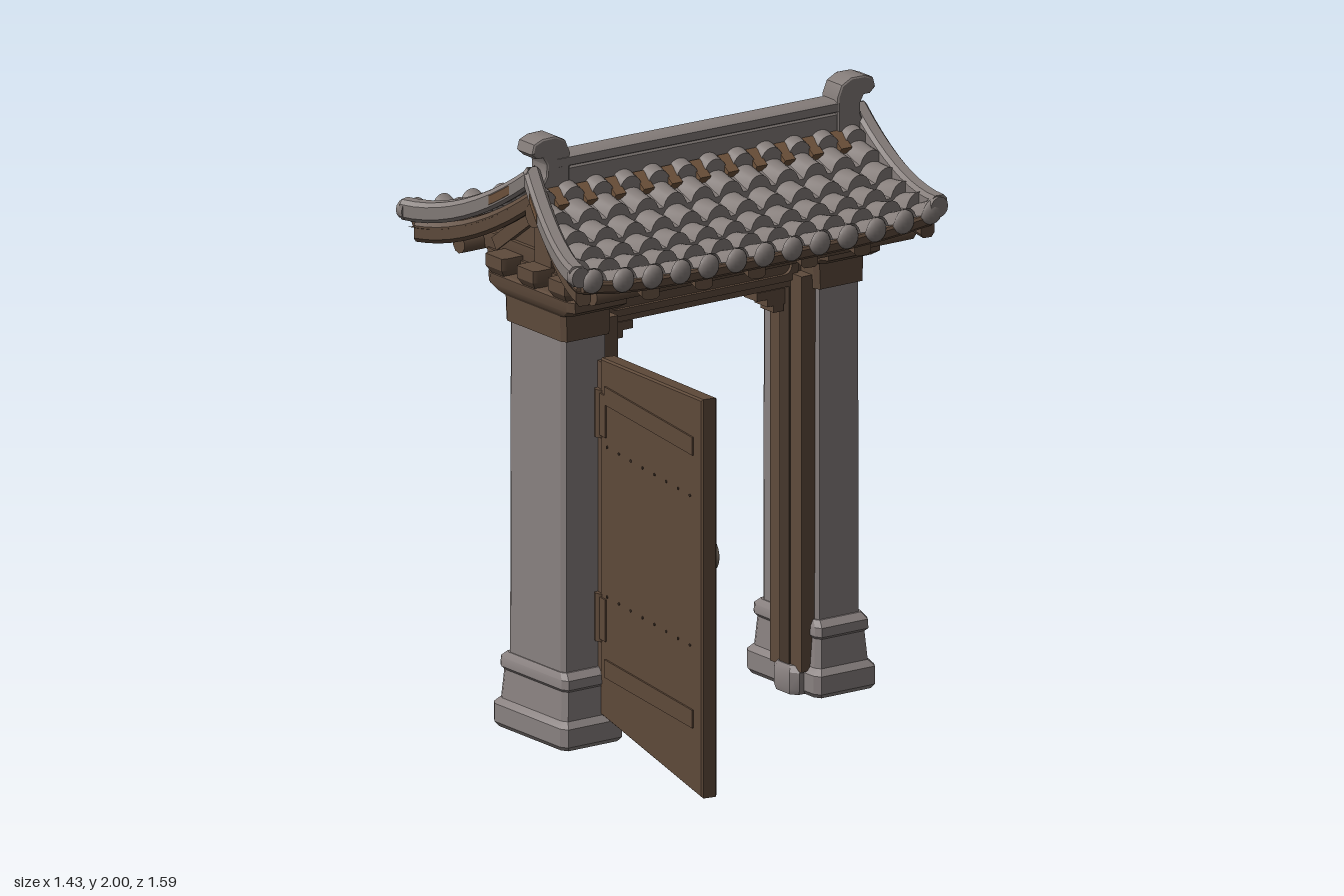
import * as THREE from 'three';
import { toCreasedNormals } from 'three/addons/utils/BufferGeometryUtils.js';

const V = (x, y, z) => new THREE.Vector3(x, y, z);
const mat = (name, color, side = THREE.FrontSide) => {
  const m = new THREE.MeshStandardMaterial({ color, side });
  m.name = name;
  return m;
};
const CX = -0.188; // centre line of pillars

export function createModel() {
  const root = new THREE.Group();
  root.name = 'gate';
  const stone = mat('stone', 0x898180);
  const tile = mat('roofTile', 0x857d7a, THREE.DoubleSide);
  const wood = mat('wood', 0x5f4b3c, THREE.DoubleSide);
  const doorWood = mat('doorWood', 0x5e4939);
  const dark = mat('darkWood', 0x45372c, THREE.DoubleSide);
  const gap = mat('ochreWood', 0x6f533c);
  const metal = mat('metal', 0x6e6256);

  const add = (name, geo, m, parent = root) => {
    const mesh = new THREE.Mesh(geo, m);
    mesh.name = name;
    parent.add(mesh);
    return mesh;
  };
  const box = (name, m, x0, x1, y0, y1, z0, z1, parent) => add(name,
    new THREE.BoxGeometry(x1 - x0, y1 - y0, z1 - z0)
      .translate((x0 + x1) / 2, (y0 + y1) / 2, (z0 + z1) / 2), m, parent);

  // Chamfered cross-section, and a closed skin over a row of such rings
  const cross = c => [[1, c], [c, 1], [-c, 1], [-1, c], [-1, -c], [-c, -1], [c, -1], [1, -c]];
  const loft = rings => {
    const p = [], n = rings[0].length, last = rings.length - 1;
    const tri = (...vs) => vs.forEach(v => p.push(v.x, v.y, v.z));
    for (let j = 0; j < n; j++) {
      const k = (j + 1) % n;
      for (let i = 0; i < last; i++) {
        const a = rings[i][j], b = rings[i][k], c = rings[i + 1][k], d = rings[i + 1][j];
        tri(a, b, c);
        tri(a, c, d);
      }
      if (j > 0 && j < n - 1) {
        tri(rings[0][0], rings[0][k], rings[0][j]);
        tri(rings[last][0], rings[last][j], rings[last][k]);
      }
    }
    const g = new THREE.BufferGeometry();
    g.setAttribute('position', new THREE.Float32BufferAttribute(p, 3));
    return toCreasedNormals(g, 0.5);
  };
  // Upright block from rows of [y, half width, half depth]
  const stack = (x, z, rows, c = 0.88) => loft(rows.map(([y, hx, hz]) =>
    cross(c).map(([u, s]) => V(x + s * hx, y, z + u * hz))));
  // Bar of constant section along a path
  const sweep = (pts, w, h, c = 0.6) => loft(pts.map((p, i) => {
    const d = pts[Math.min(i + 1, pts.length - 1)].clone().sub(pts[Math.max(i - 1, 0)]);
    const side = V(-d.z, 0, d.x).normalize();
    return cross(c).map(([u, s]) => p.clone().addScaledVector(side, s * w / 2).add(V(0, u * h / 2, 0)));
  }));

  // Roof surface: s = side, t = ridge to eave, w = back (-1) to front (1)
  const front = t => 0.59 + 0.17 * t;
  const back = (s, t) => s < 0 ? 0.68 + 0.08 * t : 0.685 - 0.045 * t;
  const roof = (s, t, w, lift = 0) => {
    const f = front(t), b = back(s, t);
    const trim = w > 0 ? 0.04 : s < 0 ? 0.05 : 0;
    let y = 1.635 + 0.215 * (1 - t) ** 1.9 + 0.03 * t * w ** 4 + lift;
    if (s < 0 && w < 0) y += 0.04 * t * w ** 8;
    // the ridge line runs slightly askew
    return V(-0.193 - 0.013 * w * (1 - t) + s * t * (0.51 - trim * w ** 6), y, -b + (f + b) * (w + 1) / 2);
  };
  // Same surface addressed by z, cut off at the gables so that tile rows stay parallel
  const roofAtZ = (s, t, z, lift) => {
    const f = front(t), b = back(s, t);
    return roof(s, t, THREE.MathUtils.clamp((z + b) / (f + b) * 2 - 1, -1, 1), lift);
  };
  const path = (s, w, lift, t0 = 0, t1 = 1) =>
    Array.from({ length: 11 }, (_, i) => roof(s, t0 + (t1 - t0) * i / 10, w, lift));

  const COLS = 13, COURSES = 6, cuts = [0, 0.35, 0.7, 0.999];
  const sheet = (nv, nu, fn) => {
    const g = new THREE.PlaneGeometry(1, 1, nv, nu), p = g.attributes.position;
    for (let i = 0; i < p.count; i++) {
      const q = fn(i % (nv + 1), Math.floor(i / (nv + 1)));
      p.setXYZ(i, q.x, q.y, q.z);
    }
    return toCreasedNormals(g, 0.7);
  };
  for (const s of [-1, 1]) {
    const rowZ = v => THREE.MathUtils.lerp(s < 0 ? -0.76 : -0.67, 0.76, v / COLS);
    // Ribbed tile field in overlapping courses
    add('roofTiles', sheet(COLS * 12, COURSES * 4 - 1, (iv, iu) => {
      const f = cuts[iu % 4], t = (Math.floor(iu / 4) + f) / COURSES;
      const a = ((iv % 12) / 12 - 0.5) / 0.38;
      const rib = Math.abs(a) < 1 ? Math.sqrt(1 - a * a) : 0;
      return roofAtZ(s, t, rowZ(iv / 12), 0.036 * rib * (0.75 + 0.45 * f) + 0.022 * f - 0.02);
    }), tile);
    // Boarded underside
    add('roofUnderside', sheet(24, 12, (iv, iu) => roof(s, iu / 12 * 0.97, iv / 12 - 1, -0.045)), dark);
    add('eaveBoard', sweep(Array.from({ length: 15 }, (_, i) => roof(s, 0.95, (i / 7 - 1) * 0.97, -0.028)), 0.03, 0.04), wood);
    for (let k = 0; k < COLS; k++) {
      const e = roofAtZ(s, 0.98, rowZ(k + 0.5));
      add('eaveTileEnd', new THREE.SphereGeometry(1, 14, 10).scale(0.023, 0.04, 0.04)
        .translate(e.x, e.y - 0.002, e.z), tile);
      if (s > 0 && k > 0 && k < COLS - 1) { // bare boards between ribs beside the ridge
        const g = roofAtZ(s, 0.135, rowZ(k), -0.002);
        add('bareBoard', new THREE.BoxGeometry(0.075, 0.03, 0.042).rotateZ(-0.6).translate(g.x, g.y, g.z), gap);
      }
    }
    for (let k = -2; k <= 2; k++)
      add('rafter', sweep(path(s, k * 0.3, -0.065, 0.05, 0.92), 0.06, 0.05), wood);
    // Gable ridges with boards beneath
    for (const w of [-1, 1]) {
      const cut = s < 0 && w < 0 ? 0.74 : 1;
      const edge = path(s, w, 0.014, 0, cut);
      if (cut < 1) edge.forEach((p, i) => { p.z -= 0.035 * i / 10; p.y += 0.025 * i / 10; });
      add('gableRidge', sweep(edge, 0.056, 0.068), tile);
      add('bargeBoard', sweep(path(s, w * 0.96, -0.056, 0, 0.94), 0.05, 0.07), wood);
      const e = edge[10];
      add('gableRidgeEnd', new THREE.CylinderGeometry(0.034, 0.034, 0.03, 14).rotateZ(Math.PI / 2)
        .translate(e.x - s * 0.006, e.y - 0.003, e.z - w * 0.006), tile);
    }
    // Worn patch high on the front gable ridge
    add('wornPatch', sweep(path(s, 1, 0.016, 0.14, 0.3), 0.06, 0.032, 0.9), gap);
    // Purlin along the eave
    add('purlin', new THREE.CylinderGeometry(0.032, 0.032, 1.26, 10).rotateX(Math.PI / 2)
      .translate(CX + s * 0.36, 1.565, 0), wood);
  }
  add('ridgePurlin', new THREE.CylinderGeometry(0.04, 0.04, 1.2, 10).rotateX(Math.PI / 2).translate(CX, 1.74, 0), wood);

  // Main ridge and its curled ends
  add('ridge', sweep([V(-0.205, 1.85, 0.55), V(-0.178, 1.85, -0.63)], 0.08, 0.11), tile);
  add('ridgeCap', sweep([V(-0.205, 1.908, 0.52), V(-0.178, 1.908, -0.6)], 0.09, 0.045), tile);
  const horn = new THREE.Shape([[0, 1.82], [0, 1.94], [0.015, 1.975], [0.05, 1.993], [0.1, 1.992], [0.13, 1.98],
    [0.137, 1.955], [0.12, 1.94], [0.095, 1.94], [0.078, 1.91], [0.08, 1.87], [0.11, 1.82]].map(([x, y]) => new THREE.Vector2(x, y)));
  for (const [x, z, a] of [[-0.205, 0.477, -1], [-0.176, -0.572, 1]])
    add('ridgeEnd', toCreasedNormals(new THREE.ExtrudeGeometry(horn, { depth: 0.064, bevelSize: 0.007, bevelThickness: 0.012, bevelSegments: 2 })
      .translate(0, 0, -0.032).rotateY(a * Math.PI / 2).translate(x, 0, z), 0.6), tile);

  // Gable infill follows the underside of the roof
  const under = [];
  for (let i = -8; i <= 8; i++) {
    const q = roof(Math.sign(i) || 1, Math.abs(i) / 10, 0, -0.055);
    under.push(new THREE.Vector2(q.x, q.y));
  }
  const gable = new THREE.Shape([...under, new THREE.Vector2(0.02, 1.5), new THREE.Vector2(-0.4, 1.5)]);

  for (const z of [-0.5, 0.5]) {
    const o = Math.sign(z);
    add('pillar', stack(CX, z, [[0.2, 0.153, 0.088], [1.37, 0.151, 0.086]]), stone);
    add('pillarBase', stack(CX, z, [[0, 0.19, 0.11], [0.015, 0.202, 0.12], [0.075, 0.202, 0.12], [0.095, 0.182, 0.104],
      [0.19, 0.174, 0.096], [0.2, 0.186, 0.104], [0.23, 0.184, 0.103], [0.25, 0.16, 0.092]]), stone);
    add('pivotStone', stack(-0.13, z - o * 0.108, [[0, 0.06, 0.045], [0.02, 0.07, 0.05], [0.075, 0.07, 0.05], [0.095, 0.055, 0.04]], 0.6), stone);
    // Capital and stepped bracket arms
    add('capital', stack(CX, z, [[1.355, 0.165, 0.094], [1.44, 0.165, 0.098], [1.45, 0.2, 0.105],
      [1.47, 0.235, 0.115], [1.505, 0.235, 0.118], [1.51, 0.2, 0.11]]), wood);
    [[1.525, 0.31, 0.06], [1.575, 0.4, 0.05]].forEach(([y, r, d]) =>
      add('bracketArm', stack(CX, z, [[y - 0.035, r - 0.08, d], [y - 0.005, r, d], [y + 0.03, r, d]]), wood));
    for (const x of [-0.17, 0, 0.17])
      add('bracketBlock', stack(CX + x, z, [[1.5, 0.035, 0.11], [1.53, 0.05, 0.13], [1.57, 0.05, 0.13]]), wood);
    add('gableInfill', new THREE.ExtrudeGeometry(gable, { depth: 0.07, bevelEnabled: false }).translate(0, 0, z - 0.035), wood);
    box('kingPost', wood, CX - 0.045, CX + 0.045, 1.5, 1.76, z - 0.06, z + 0.06);
    for (const s of [-1, 1])
      add('gableStrut', new THREE.BoxGeometry(0.3, 0.045, 0.11).rotateZ(-s * 0.62).translate(CX + s * 0.15, 1.66, z), wood);
    // Door post with a narrow inner strip, and carved corner bracket
    const inner = z - o * 0.11;
    box('doorPost', wood, -0.22, -0.05, 0.08, 1.4, inner - 0.028, inner + 0.028);
    box('doorPostStrip', dark, -0.16, -0.11, 0.09, 1.37, inner - o * 0.031 - 0.003, inner - o * 0.031 + 0.003);
    [[0.3, 0.055, 1.33], [0.325, 0.04, 1.305], [0.33, 0.02, 1.282]].forEach(([c, h, y]) =>
      box('cornerBracket', wood, -0.2, -0.13, y - 0.012, y + 0.016, o * c - h, o * c + h));
  }

  // Lintel with a framed panel on both faces
  box('lintel', wood, -0.25, -0.11, 1.355, 1.53, -0.42, 0.42);
  box('lintelCap', wood, -0.27, -0.09, 1.53, 1.57, -0.46, 0.46);
  const rounded = (C, w, h, r) => {
    const q = new C();
    q.moveTo(-w + r, -h).lineTo(w - r, -h).quadraticCurveTo(w, -h, w, -h + r).lineTo(w, h - r)
      .quadraticCurveTo(w, h, w - r, h).lineTo(-w + r, h).quadraticCurveTo(-w, h, -w, h - r)
      .lineTo(-w, -h + r).quadraticCurveTo(-w, -h, -w + r, -h);
    return q;
  };
  const frame = rounded(THREE.Shape, 0.385, 0.068, 0.04);
  frame.holes.push(rounded(THREE.Path, 0.36, 0.045, 0.035));
  for (const x of [-0.262, -0.11])
    add('lintelFrame', new THREE.ExtrudeGeometry(frame, { depth: 0.012, bevelEnabled: false })
      .rotateY(Math.PI / 2).translate(x, 1.445, 0), wood);

  // Open door leaf, taller at its free edge
  const door = new THREE.Group();
  door.name = 'door';
  door.position.set(-0.008, 0, 0.432);
  door.rotation.y = -0.168;
  root.add(door);
  const leaf = new THREE.Shape([[0.006, 0.1], [0.722, 0.016], [0.722, 1.334], [0.006, 1.28]].map(([x, y]) => new THREE.Vector2(x, y)));
  add('doorLeaf', new THREE.ExtrudeGeometry(leaf, { depth: 0.044, bevelSize: 0.006, bevelThickness: 0.006, bevelSegments: 1 })
    .translate(0, 0, -0.022), doorWood, door);
  for (const y of [0.26, 1.17])
    box('doorBatten', doorWood, 0.04, 0.67, y - 0.03, y + 0.03, 0.027, 0.034, door);
  for (let k = 1; k < 5; k++)
    box('plankSeam', dark, k * 0.144 - 0.002, k * 0.144 + 0.002, 0.1, 1.28, -0.0295, -0.026, door);
  for (const y of [0.5, 1.0])
    for (let k = 0; k < 8; k++)
      add('rivet', new THREE.CylinderGeometry(0.005, 0.005, 0.062, 6).rotateX(Math.PI / 2)
        .translate(0.05 + k * 0.085, y, 0), dark, door);
  for (const y of [0.42, 1.1]) {
    box('hinge', doorWood, -0.06, 0.045, y - 0.07, y + 0.07, -0.036, 0.034, door);
    add('hingePin', new THREE.CylinderGeometry(0.022, 0.022, 0.16, 10).translate(-0.01, y, 0.02), doorWood, door);
  }
  box('hingeStile', wood, -0.03, 0.008, 0.1, 1.27, -0.025, 0.025, door);

  // Ring handle on the inner face
  add('handlePlate', new THREE.CylinderGeometry(0.05, 0.05, 0.012, 20).rotateX(Math.PI / 2).translate(0.6, 0.8, -0.033), metal, door);
  add('handleKnob', new THREE.SphereGeometry(0.028, 14, 10).translate(0.6, 0.81, -0.045), metal, door);
  add('handleRing', new THREE.TorusGeometry(0.045, 0.008, 8, 24).translate(0.6, 0.78, -0.068), metal, door);

  return root;
}
